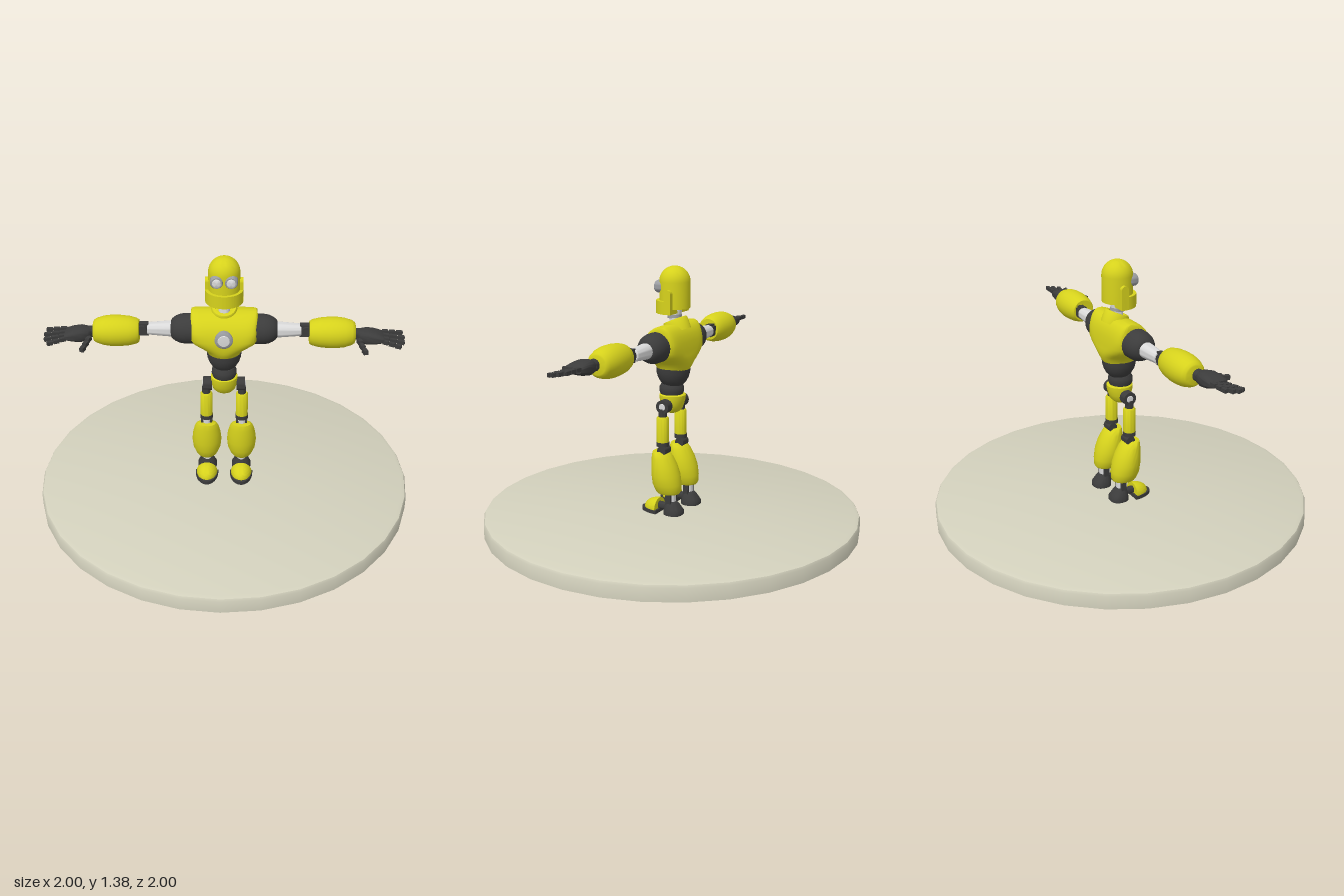
import * as THREE from 'three';
import { toCreasedNormals } from 'three/addons/utils/BufferGeometryUtils.js';

const paint = (name, color) => Object.assign(new THREE.MeshStandardMaterial({ color }), { name });

// Turned part: [radius, height] pairs, bottom to top
const lathe = (pts, seg = 28) =>
  toCreasedNormals(new THREE.LatheGeometry(pts.map(([r, y]) => new THREE.Vector2(r, y)), seg), 0.7);

const tube = (r, y0, y1, seg = 24) => lathe([[0, y0], [r, y0], [r, y1], [0, y1]], seg);

// Closed skin over superellipse sections: [height, half width, half depth, z offset, squareness]
function loft(rows, seg = 40) {
  const pos = [], idx = [];
  const curve = (v, n) => Math.sign(v) * Math.abs(v) ** (2 / n);
  for (const [y, w, d, cz = 0, n = 2] of rows) {
    for (let j = 0; j < seg; j++) {
      const a = (j / seg) * Math.PI * 2;
      pos.push(w * curve(Math.sin(a), n), y, cz + d * curve(Math.cos(a), n));
    }
  }
  const last = rows.length - 1, c0 = rows.length * seg;
  for (const r of [rows[0], rows[last]]) pos.push(0, r[0], r[3] || 0);
  for (let j = 0; j < seg; j++) {
    const k = (j + 1) % seg;
    for (let i = 0; i < last; i++) {
      const a = i * seg + j, b = i * seg + k;
      idx.push(a, b, b + seg, a, b + seg, a + seg);
    }
    idx.push(c0, k, j, c0 + 1, last * seg + j, last * seg + k);
  }
  const g = new THREE.BufferGeometry();
  g.setAttribute('position', new THREE.Float32BufferAttribute(pos, 3));
  g.setIndex(idx);
  return toCreasedNormals(g, 0.8);
}

// Flattens everything behind z = 0 onto that plane
function flatBack(g) {
  const p = g.attributes.position;
  for (let i = 0; i < p.count; i++) if (p.getZ(i) < 0) p.setZ(i, 0);
  return toCreasedNormals(g, 0.8);
}

export function createModel() {
  const model = new THREE.Group();
  model.name = 'robotOnStand';
  const yellow = paint('yellow', 0xd6d21c);
  const dark = paint('charcoal', 0x3c3c3c);
  const light = paint('lightGrey', 0xdadada);
  const grey = paint('midGrey', 0x9c9ea2);
  const stone = paint('standStone', 0xd2d0bc);

  const add = (parent, name, geo, mat, p = [0, 0, 0], r = [0, 0, 0]) => {
    const m = new THREE.Mesh(geo, mat);
    m.name = name;
    m.position.set(...p);
    m.rotation.set(...r);
    parent.add(m);
    return m;
  };
  const group = (name, x = 0, y = 0, z = 0) => {
    const g = new THREE.Group();
    g.name = name;
    g.position.set(x, y, z);
    model.add(g);
    return g;
  };
  const H = Math.PI / 2;

  // Stand
  add(model, 'stand', lathe([[0, 0], [1, 0], [1, 0.068], [0.994, 0.08], [0.975, 0.087], [0, 0.087]], 32), stone);

  // Head: domed skull, jaw band with cheek lugs, two round eyes
  const head = group('head', 0, 0, -0.018);
  const skull = [[0, 1.165], [0.079, 1.165], [0.08, 1.3]];
  for (let i = 1; i <= 10; i++) skull.push([0.08 * Math.cos(i * H / 10), 1.3 + 0.08 * Math.sin(i * H / 10)]);
  add(head, 'skull', lathe(skull, 36), yellow);
  const jaw = new THREE.Shape();
  jaw.moveTo(-0.096, 0.027);
  jaw.lineTo(-0.096, 0);
  jaw.absarc(0, 0, 0.096, Math.PI, Math.PI * 2, false);
  jaw.lineTo(0.096, 0.027);
  const jawGeo = new THREE.ExtrudeGeometry(jaw, { depth: 0.066, bevelEnabled: false, curveSegments: 24 });
  add(head, 'jaw', toCreasedNormals(jawGeo.rotateX(-H), 0.6), yellow, [0, 1.14, 0]);
  for (const s of [-1, 1]) {
    const lug = new THREE.Shape();
    lug.moveTo(-0.02, 0);
    lug.lineTo(0.02, 0);
    lug.lineTo(0.02, 0.1);
    lug.absarc(0, 0.1, 0.02, 0, Math.PI, false);
    add(head, 'cheekLug', new THREE.ExtrudeGeometry(lug, { depth: 0.022, bevelEnabled: false }),
      yellow, [s * 0.085 - 0.011, 1.145, -0.008], [0, H, 0]);
    const eye = [s * 0.036, 1.275, 0.04];
    add(head, 'eyeRing', lathe([[0, 0], [0.033, 0], [0.033, 0.036], [0.028, 0.046], [0, 0.046]]), grey, eye, [H, 0, 0]);
    add(head, 'eyeLens', lathe([[0.023, 0.044], [0.021, 0.051], [0.012, 0.055], [0, 0.056]]), light, eye, [H, 0, 0]);
  }

  // Neck and tilted collar
  add(model, 'neck', tube(0.03, 0, 0.1), light, [0, 1.08, -0.018], [-0.1, 0, 0]);
  add(model, 'neckRing', tube(0.037, 0, 0.016), grey, [0, 1.115, -0.018], [0.1, 0, 0]);
  add(model, 'collar', lathe([[0.066, -0.04], [0.066, 0.018], [0.06, 0.026], [0.047, 0.026], [0.044, 0.01], [0, 0.01]]),
    yellow, [0, 1.08, -0.028], [0.4, 0, 0]);

  // Torso
  add(model, 'torso', loft([
    [0.85, 0.085, 0.086, -0.012], [0.87, 0.093, 0.098, -0.011], [0.89, 0.112, 0.105, -0.01, 2.2],
    [0.91, 0.142, 0.107, -0.01, 2.6], [0.93, 0.162, 0.107, -0.008, 3.4], [0.955, 0.17, 0.106, -0.007, 5],
    [1.0, 0.17, 0.1, -0.009, 6], [1.035, 0.17, 0.086, -0.014, 6], [1.06, 0.17, 0.068, -0.02, 6],
    [1.078, 0.168, 0.046, -0.026, 6], [1.086, 0.164, 0.024, -0.03, 6]], 56), yellow);
  add(model, 'chestRing', lathe([[0, 0], [0.046, 0], [0.046, 0.03], [0.038, 0.036], [0, 0.036]]), grey, [0, 0.975, 0.073], [H, 0, 0]);
  add(model, 'chestLamp', lathe([[0.032, 0.034], [0.029, 0.04], [0, 0.042]]), light, [0, 0.975, 0.073], [H, 0, 0]);

  // Waist and pelvis
  add(model, 'waist', lathe([[0, 0.76], [0.05, 0.762], [0.066, 0.778], [0.08, 0.803], [0.088, 0.83], [0.089, 0.855], [0, 0.855]]), dark, [0, 0, -0.009]);
  add(model, 'lowerWaist', lathe([[0, 0.7], [0.056, 0.705], [0.065, 0.73], [0.064, 0.75], [0.054, 0.768], [0, 0.77]]), dark);
  add(model, 'pelvis', loft([
    [0.612, 0.025, 0.02, -0.005], [0.618, 0.042, 0.034, -0.005], [0.635, 0.058, 0.05, -0.005], [0.66, 0.066, 0.06, -0.005],
    [0.69, 0.07, 0.068, -0.005], [0.708, 0.07, 0.069, -0.005], [0.713, 0.064, 0.062, -0.005]]), yellow);

  for (const s of [-1, 1]) {
    const side = s > 0 ? 'left' : 'right';

    // Arm, turned along x
    const arm = group(side + 'Arm', 0, 0.983, 0);
    const out = [0, 0, -s * H];
    add(arm, 'shoulder', lathe([[0, 0.15], [0.078, 0.15], [0.078, 0.2], [0.074, 0.225], [0.064, 0.248], [0.052, 0.264], [0.042, 0.27], [0, 0.27]]),
      dark, [0, 0.002, -0.008], out);
    add(arm, 'upperArm', lathe([[0, 0.25], [0.041, 0.25], [0.04, 0.29], [0.032, 0.388], [0.028, 0.392], [0, 0.392]]), light, [0, 0, -0.008], out);
    add(arm, 'elbowFork', new THREE.BoxGeometry(0.05, 0.068, 0.03), dark, [s * 0.41, 0, -0.006]);
    add(arm, 'elbowPin', tube(0.026, -0.026, 0.026), dark, [s * 0.418, 0, -0.004], [H, 0, 0]);
    add(arm, 'forearm', lathe([[0, 0.432], [0.058, 0.432], [0.066, 0.445], [0.075, 0.48], [0.08, 0.53], [0.08, 0.57], [0.075, 0.61],
      [0.064, 0.645], [0.054, 0.66], [0.046, 0.663], [0, 0.663]]), yellow, [0, -0.001, 0.016], out);
    add(arm, 'wrist', tube(0.03, 0.65, 0.69), dark, [0, 0, 0.03], out);

    // Hand: palm, four jointed fingers and a thumb
    add(arm, 'palm', loft([[0.665, 0.022, 0.024, 0.035], [0.685, 0.032, 0.04, 0.042, 2.5], [0.72, 0.037, 0.05, 0.046, 3],
      [0.76, 0.031, 0.053, 0.05, 3], [0.79, 0.02, 0.052, 0.053, 3.5], [0.802, 0.013, 0.047, 0.053, 3.5]]), dark, [0, -0.002, 0], out);
    const finger = (name, x0, z0, x1, z1, size) => {
      const len = Math.hypot(x1 - x0, z1 - z0) / 3;
      for (let i = 0; i < 3; i++) {
        const t = (i + 0.5) / 3, z = z0 + (z1 - z0) * t;
        add(arm, name, new THREE.BoxGeometry(len - 0.005, size, size), dark,
          [s * (x0 + (x1 - x0) * t), 0.01 - 0.22 * z, z], [0, Math.atan2(z0 - z1, s * (x1 - x0)), 0]);
        add(arm, name + 'Joint', new THREE.BoxGeometry(len, size * 0.6, size * 0.6), dark,
          [s * (x0 + (x1 - x0) * t), 0.01 - 0.22 * z, z], [0, Math.atan2(z0 - z1, s * (x1 - x0)), 0]);
      }
    };
    [[0.015, 0.025, 0.902], [0.041, 0.063, 0.908], [0.066, 0.1, 0.904], [0.09, 0.132, 0.885]]
      .forEach(([a, b, x]) => finger('finger', 0.795, a, x, b, 0.019));
    finger('thumb', 0.675, 0.075, 0.706, 0.182, 0.022);

    // Leg: hip, thigh, knee, shin, ankle
    const leg = group(side + 'Leg', s * 0.094, 0, 0);
    add(leg, 'hipDisc', tube(0.036, -0.03, 0.016), dark, [0, 0.66, -0.005], out);
    add(leg, 'hipCap', lathe([[0.02, 0.014], [0.017, 0.019], [0, 0.02]]), light, [0, 0.66, -0.005], out);
    add(leg, 'hipPost', tube(0.022, 0.59, 0.65), dark);
    add(leg, 'thigh', lathe([[0, 0.47], [0.032, 0.47], [0.032, 0.6], [0.027, 0.607], [0, 0.607]]), yellow);
    add(leg, 'thighBand', tube(0.034, 0.45, 0.472), dark);
    add(leg, 'kneePost', tube(0.024, 0.4, 0.452), light);
    add(leg, 'kneePin', tube(0.025, -0.03, 0.03), dark, [0, 0.428, -0.008], out);
    add(leg, 'shin', loft([[0.2, 0.052, 0.062, -0.034], [0.212, 0.06, 0.07, -0.033], [0.25, 0.074, 0.077, -0.026],
      [0.3, 0.079, 0.075, -0.019], [0.35, 0.074, 0.066, -0.009], [0.39, 0.065, 0.053, 0.002], [0.41, 0.058, 0.043, 0.01],
      [0.422, 0.048, 0.03, 0.02]]), yellow);
    add(leg, 'ankle', tube(0.026, 0.13, 0.21), light, [0, 0, -0.05]);
    for (const k of [-1, 1]) add(leg, 'ankleStrut', new THREE.BoxGeometry(0.012, 0.07, 0.03), dark, [k * 0.029, 0.175, -0.05]);

    // Foot: sole, toe cap, heel block and the joint between them
    add(leg, 'toeSole', flatBack(new THREE.CylinderGeometry(1, 1, 1, 32).scale(0.062, 0.02, 0.112)), dark, [0, 0.096, 0.01]);
    add(leg, 'toeCap', flatBack(new THREE.SphereGeometry(1, 32, 14, 0, Math.PI * 2, 0, H).scale(0.057, 0.056, 0.086)), yellow, [0, 0.105, 0.02]);
    add(leg, 'footJoint', tube(0.02, -0.03, 0.04), dark, [0, 0.122, -0.01], [H, 0, 0]);
    add(leg, 'heel', loft([[0.087, 0.052, 0.05, -0.066, 2.5], [0.106, 0.052, 0.05, -0.066, 2.5], [0.12, 0.046, 0.044, -0.062, 2.5],
      [0.142, 0.04, 0.036, -0.056], [0.156, 0.028, 0.026, -0.052]]), dark);
  }
  return model;
}
